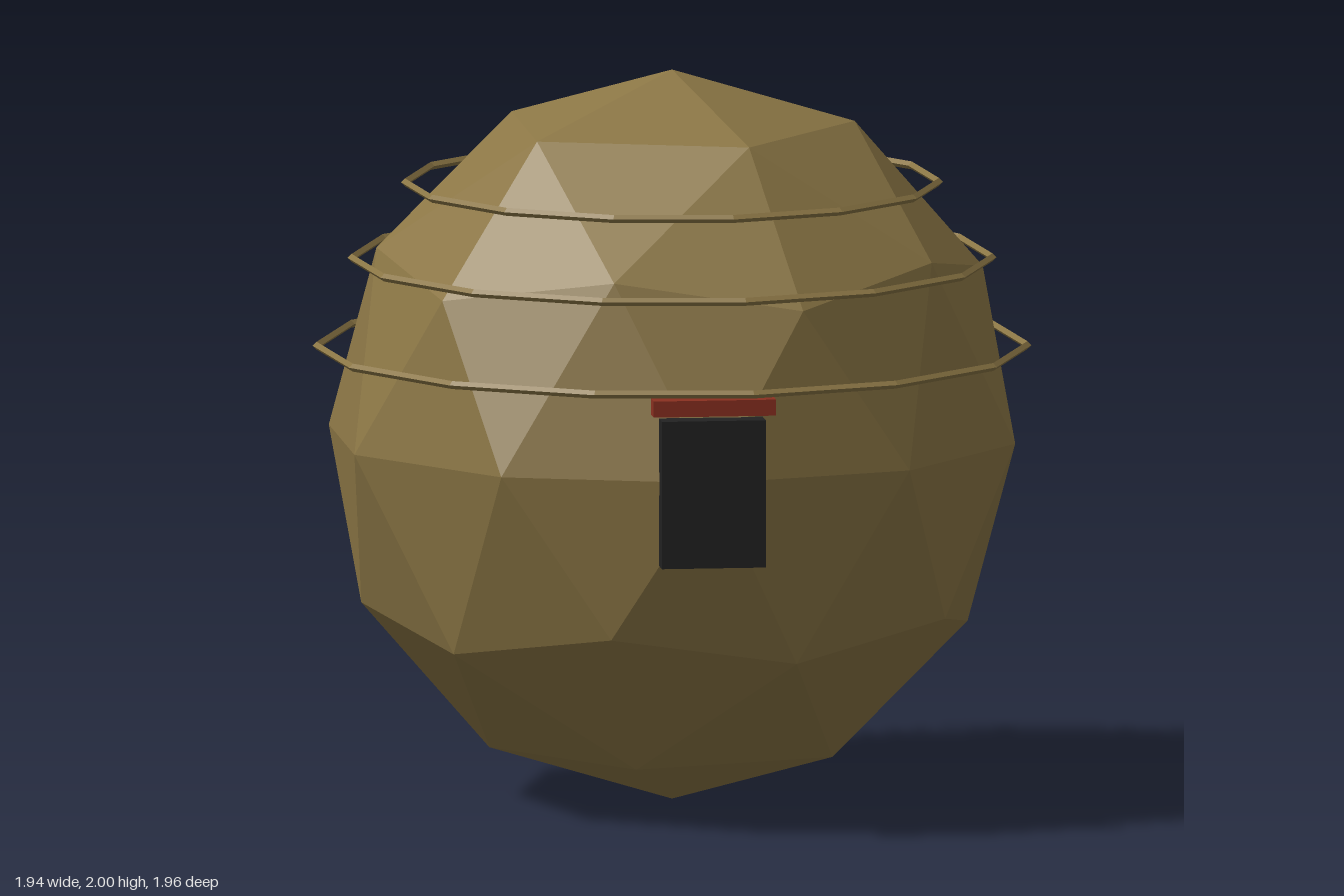
import * as THREE from 'three';

const mat = (name, color) =>
  new THREE.MeshStandardMaterial({ name, color, flatShading: true });

export function createModel() {
  const model = new THREE.Group();
  model.name = 'hive';
  const straw = mat('straw', 0x8b7645);
  const dark = mat('dark opening', 0x222222);
  const red = mat('red', 0x8b3020);

  const add = (name, geometry, material, x, y, z) => {
    const mesh = new THREE.Mesh(geometry, material);
    mesh.name = name;
    mesh.position.set(x, y, z);
    model.add(mesh);
  };

  // Faceted body: an icosphere standing on one of its points
  const body = new THREE.IcosahedronGeometry(1, 1);
  body.rotateX(-Math.atan((1 + Math.sqrt(5)) / 2));
  body.rotateY(Math.PI / 2);
  body.scale(0.95, 1, 0.95);
  add('body', body, straw, 0, 1, 0);

  // Thin fourteen-sided bands around the upper half
  const bands = [[0.965, 1.243], [0.87, 1.484], [0.725, 1.691]];
  bands.forEach(([radius, y], i) => {
    const band = new THREE.TorusGeometry(radius, 0.011, 4, 14);
    band.rotateZ(Math.PI / 28);
    band.rotateX(Math.PI / 2);
    add('band' + (i + 1), band, straw, 0, y, 0);
  });

  // Doorway with its lintel
  add('door', new THREE.BoxGeometry(0.284, 0.404, 0.07), dark, 0, 0.97, 0.925);
  add('lintel', new THREE.BoxGeometry(0.335, 0.044, 0.064), red, 0, 1.21, 0.954);

  return model;
}
